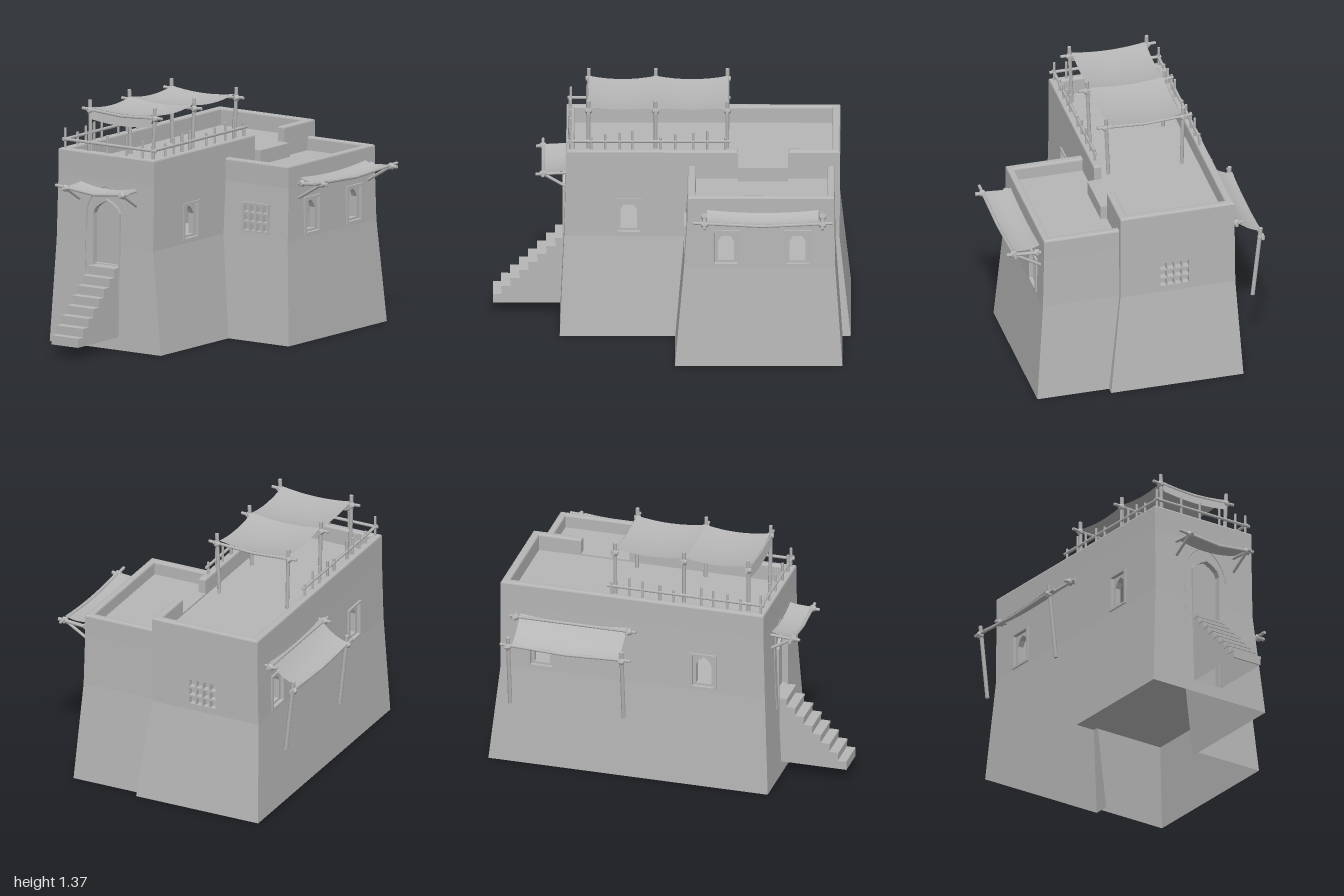
import * as THREE from 'three';
import { ParametricGeometry } from 'three/addons/geometries/ParametricGeometry.js';

const V = (x, y, z) => new THREE.Vector3(x, y, z);
const poly = pts => new THREE.Shape(pts.map(p => new THREE.Vector2(p[0], p[1])));
const rect = (x0, y0, x1, y1) => poly([[x0, y0], [x1, y0], [x1, y1], [x0, y1]]);

// Footprint [x0, x1, z0, z1] at the base, the bend and the top of each block
const MAIN = { ys: [0, 0.58, 0.95], rows: [[-0.58, 0.185, -1, 0.625], [-0.55, 0.115, -0.937, 0.6], [-0.545, 0.115, -0.94, 0.59]] };
const SIDE = { ys: [0, 0.58, 0.88], rows: [[0.185, 0.6, -0.955, -0.02], [0.115, 0.557, -0.915, -0.07], [0.115, 0.55, -0.91, -0.09]] };

// For each facing: turn about y, then [start, end, depth] from a footprint
const FACING = {
  front: [0, r => [r[0], r[1], r[3]]],
  right: [Math.PI / 2, r => [-r[3], -r[2], r[1]]],
  back: [Math.PI, r => [-r[1], -r[0], -r[2]]],
  left: [-Math.PI / 2, r => [r[2], r[3], -r[0]]],
};

export function createModel() {
  const root = new THREE.Group();
  root.name = 'flatRoofHouse';
  const plaster = new THREE.MeshStandardMaterial({ color: 0xb6b6b6, side: THREE.DoubleSide });
  plaster.name = 'grey plaster';

  function add(parent, name, geo) {
    const m = new THREE.Mesh(geo, plaster);
    m.name = name;
    parent.add(m);
    return m;
  }
  function group(name, parent = root) {
    const g = new THREE.Group();
    g.name = name;
    parent.add(g);
    return g;
  }
  function box(parent, name, x0, x1, y0, y1, z0, z1) {
    add(parent, name, new THREE.BoxGeometry(x1 - x0, y1 - y0, z1 - z0)).position.set((x0 + x1) / 2, (y0 + y1) / 2, (z0 + z1) / 2);
  }
  function rod(parent, name, a, b, r = 0.009) {
    const m = add(parent, name, new THREE.CylinderGeometry(r, r, a.distanceTo(b), 7));
    m.position.copy(a).lerp(b, 0.5);
    m.quaternion.setFromUnitVectors(V(0, 1, 0), b.clone().sub(a).normalize());
  }
  const knot = (parent, p) => add(parent, 'ropeKnot', new THREE.IcosahedronGeometry(0.023, 0)).position.copy(p);

  // One band of wall in its own plane, with optional notches and holes
  function band(parent, block, side, i, { holes = [], low = [], high = [], range } = {}) {
    const [y0, y1] = [block.ys[i], block.ys[i + 1]];
    let [a0, a1, d0] = FACING[side][1](block.rows[i]);
    let [b0, b1, d1] = FACING[side][1](block.rows[i + 1]);
    if (range) {
      a0 = range[0] ?? a0; b0 = range[0] ?? b0;
      a1 = range[1] ?? a1; b1 = range[1] ?? b1;
    }
    const s = poly([[a0, y0], ...low, [a1, y0], [b1, y1], ...high, [b0, y1]]);
    s.holes.push(...holes);
    const g = new THREE.ShapeGeometry(s);
    const p = g.attributes.position;
    for (let k = 0; k < p.count; k++) p.setZ(k, d0 + (d1 - d0) * (p.getY(k) - y0) / (y1 - y0));
    g.computeVertexNormals();
    add(parent, side + 'Wall', g);
  }

  const WIN = { w: 0.077, y0: 0.595, y1: 0.81 };
  const GRATE = { w: 0.092, y0: 0.608, y1: 0.778 };
  const hole = (c, o) => rect(c - o.w, o.y0, c + o.w, o.y1);
  const extrude = (s, depth, z) => new THREE.ExtrudeGeometry(s, { depth, bevelEnabled: false }).translate(0, 0, z);

  // Pointed window: raised rim around a recessed plate with an arched opening
  function window_(parent, c, d) {
    const g = group('archedWindow', parent);
    const rim = hole(c, WIN);
    rim.holes.push(rect(c - 0.063, 0.608, c + 0.063, 0.797));
    add(g, 'windowRim', extrude(rim, 0.05, d - 0.042));
    const plate = hole(c, WIN);
    plate.holes.push(poly([[c - 0.045, 0.62], [c + 0.045, 0.62], [c + 0.045, 0.735], [c + 0.028, 0.765], [c, 0.785], [c - 0.028, 0.765], [c - 0.045, 0.735]]));
    add(g, 'windowPlate', extrude(plate, 0.035, d - 0.05));
  }
  // Grated window: plate with four by three openings and a back
  function grate(parent, c, d) {
    const g = group('gratedWindow', parent);
    const s = hole(c, GRATE);
    for (let i = 0; i < 4; i++) for (let j = 0; j < 3; j++) {
      const x = c - 0.0825 + i * 0.0435, y = 0.619 + j * 0.0525;
      s.holes.push(rect(x, y, x + 0.034, y + 0.042));
    }
    add(g, 'grating', extrude(s, 0.035, d - 0.03));
    add(g, 'gratingBack', new THREE.ShapeGeometry(hole(c, GRATE)).translate(0, 0, d - 0.03));
  }
  function wall(block, side, { windows = [], grates = [], lower = [{}], low = [] } = {}) {
    const g = group(side + 'Side');
    g.rotation.y = FACING[side][0];
    lower.forEach(o => band(g, block, side, 0, o));
    band(g, block, side, 1, { low, holes: [...windows.map(c => hole(c, WIN)), ...grates.map(c => hole(c, GRATE))] });
    const d = FACING[side][1](block.rows[1])[2];
    windows.forEach(c => window_(g, c, d));
    grates.forEach(c => grate(g, c, d - 0.004));
  }

  // Walls of both blocks
  const arch = [[-0.3, 0.77], [-0.285, 0.8], [-0.25, 0.825], [-0.205, 0.845], [-0.16, 0.825], [-0.125, 0.8], [-0.11, 0.77]];
  wall(MAIN, 'front', {
    lower: [{ high: [[-0.11, 0.58], [-0.11, 0.07], [-0.3, 0.07], [-0.3, 0.58]] }],
    low: [[-0.3, 0.58], ...arch, [-0.11, 0.58]],
  });
  wall(MAIN, 'right', { windows: [-0.24], lower: [{ range: [null, 0.075] }, { range: [0.91, null] }] });
  wall(MAIN, 'back', { grates: [0.2] });
  wall(MAIN, 'left', { windows: [0.24, -0.7] });
  wall(SIDE, 'front', { grates: [0.335] });
  wall(SIDE, 'right', { windows: [0.305, 0.705] });
  wall(SIDE, 'back');

  // Floors: inner storey and the two roofs
  const flat = (name, pts, y) => add(root, name, new THREE.ShapeGeometry(poly(pts.map(p => [p[0], -p[1]]))).rotateX(-Math.PI / 2).translate(0, y, 0));
  flat('innerFloor', [[-0.553, 0.603], [0.127, 0.603], [0.127, -0.063], [0.564, -0.063], [0.564, -0.92], [0.127, -0.92], [0.127, -0.947], [-0.553, -0.947]], 0.475);
  flat('mainRoof', [[-0.53, 0.575], [0.1, 0.575], [0.1, -0.925], [-0.53, -0.925]], 1.0);
  flat('sideRoof', [[0.11, -0.1], [0.54, -0.1], [0.54, -0.9], [0.11, -0.9]], 0.93);

  // Parapets with softened top edges
  function parapet(name, pts, y0, y1) {
    const b = 0.01;
    const g = new THREE.ExtrudeGeometry(poly(pts.map(p => [p[0], -p[1]])), { depth: y1 - y0 - b, bevelThickness: b, bevelSize: b, bevelOffset: -b, bevelSegments: 2 });
    add(root, name, g.rotateX(-Math.PI / 2).translate(0, y0, 0));
  }
  parapet('mainParapet', [[0.115, -0.37], [0.115, 0.59], [-0.545, 0.59], [-0.545, -0.94], [0.115, -0.94], [0.115, -0.65], [0.07, -0.65],
    [0.07, -0.895], [-0.5, -0.895], [-0.5, 0.545], [0.07, 0.545], [0.07, -0.37]], 0.94, 1.097);
  parapet('sideParapet', [[0.1, -0.09], [0.55, -0.09], [0.55, -0.91], [0.1, -0.91], [0.1, -0.87], [0.51, -0.87], [0.51, -0.135], [0.1, -0.135]], 0.87, 1.007);
  box(root, 'roofStep', 0.07, 0.152, 0.9, 1.01, -0.65, -0.37);

  // Door: frame, shallow panel and plaster arch line
  const door = group('doorway');
  const frame = poly([[-0.3, 0.07], [-0.11, 0.07], ...[...arch].reverse()]);
  add(door, 'doorPanel', new THREE.ShapeGeometry(frame).translate(0, 0, 0.575));
  frame.holes.push(poly([[-0.12, 0.08], ...[...arch].reverse().map(p => [-0.205 + (p[0] + 0.205) * 0.89, p[1] - 0.012]), [-0.29, 0.08]]));
  add(door, 'doorFrame', extrude(frame, 0.035, 0.575));
  const line = [[-0.345, 0.42, 0.608], [-0.345, 0.58, 0.6], [-0.345, 0.68, 0.597], [-0.342, 0.78, 0.595], [-0.31, 0.85, 0.593], [-0.26, 0.895, 0.592],
    [-0.21, 0.915, 0.591], [-0.15, 0.89, 0.592], [-0.1, 0.835, 0.593], [-0.075, 0.78, 0.595], [-0.072, 0.73, 0.596]];
  add(door, 'archLine', new THREE.TubeGeometry(new THREE.CatmullRomCurve3(line.map(p => V(...p))), 40, 0.004, 5));

  // Stairs: stepped cheeks with treads and risers, open underneath
  const stairs = group('stairs');
  const profile = [[0.575, 0.07], [1.0, 0.07]];
  for (let i = 0; i < 8; i++) {
    const y = 0.12 + i * 0.049, z = 1 - i * 0.05, back = i < 7 ? z - 0.05 : 0.575;
    profile.push([z, y], [back, y]);
    box(stairs, 'tread', -0.298, -0.112, y - 0.012, y + 0.002, back, Math.min(z + 0.004, 1));
    box(stairs, 'riser', -0.295, -0.115, y - 0.05, y - 0.01, z - 0.008, z);
  }
  for (const x of [-0.295, -0.115]) add(stairs, 'stairCheek', new THREE.ShapeGeometry(poly(profile)).rotateY(-Math.PI / 2).translate(x, 0, 0));

  // Railing around the front of the main roof
  const rail = group('railing');
  const post = (x, z, top) => rod(rail, 'railPost', V(x, 1.06, z), V(x, top, z), 0.0075);
  rod(rail, 'frontRail', V(-0.53, 1.146, 0.57), V(0.115, 1.146, 0.57), 0.009);
  [-0.35, -0.225, -0.09, 0.02].forEach((x, i) => post(x, 0.568, i % 2 ? 1.2 : 1.205));
  for (const x of [-0.515, 0.09]) {
    rod(rail, 'sideRail', V(x, 1.146, 0.585), V(x, 1.146, -0.325), 0.009);
    [0.565, 0.45, 0.37, 0.29, 0.22, 0.06, -0.02, -0.12, -0.2, -0.3].forEach((z, i) => post(x, z, [1.21, 1.17, 1.19, 1.2][i % 4]));
  }

  // Cloth between an inner edge a-b and an outer edge c-d, sagging both ways
  function cloth(parent, a, b, c, d, sagAlong, sagOut) {
    add(parent, 'cloth', new ParametricGeometry((u, v, t) => {
      t.copy(a).lerp(b, u).lerp(c.clone().lerp(d, u), v);
      t.y -= 4 * sagAlong * u * (1 - u) + 4 * sagOut * v * (1 - v);
    }, 10, 8));
  }

  // Roof canopy: three trestles, two cloth spans and a front flap
  const canopy = group('roofCanopy');
  const zs = [-0.31, 0.09, 0.465];
  for (const z of zs) {
    for (const [x, lean] of [[-0.41, -0.008], [0.015, 0.015]]) {
      rod(canopy, 'canopyPost', V(x, 1.0, z), V(x + lean, 1.365, z), 0.011);
      knot(canopy, V(x + lean, 1.305, z));
    }
    rod(canopy, 'crossPole', V(-0.47, 1.312, z), V(-0.2, 1.295, z));
    rod(canopy, 'crossPole', V(-0.2, 1.295, z), V(0.08, 1.31, z));
  }
  for (let i = 0; i < 2; i++) cloth(canopy, V(-0.41, 1.325, zs[i]), V(0.015, 1.325, zs[i]), V(-0.41, 1.325, zs[i + 1]), V(0.015, 1.325, zs[i + 1]), 0.018, 0.02);
  cloth(canopy, V(-0.41, 1.325, 0.467), V(0.015, 1.325, 0.467), V(-0.41, 1.26, 0.48), V(0.015, 1.26, 0.48), 0.018, 0);

  // Front awning over the door
  const porch = group('frontAwning');
  cloth(porch, V(-0.39, 0.925, 0.59), V(-0.01, 0.925, 0.59), V(-0.39, 0.912, 0.725), V(-0.01, 0.912, 0.725), 0.025, 0.006);
  rod(porch, 'outerPole', V(-0.47, 0.913, 0.72), V(-0.2, 0.887, 0.72));
  rod(porch, 'outerPole', V(-0.2, 0.887, 0.72), V(0.035, 0.912, 0.72));
  for (const x of [-0.4, -0.01]) {
    rod(porch, 'arm', V(x, 0.91, 0.58), V(x, 0.9, 0.76));
    rod(porch, 'brace', V(x, 0.825, 0.59), V(x, 0.91, 0.73));
    knot(porch, V(x, 0.903, 0.72));
  }

  // Right awning on braced arms
  const right = group('rightAwning');
  cloth(right, V(0.55, 0.93, -0.82), V(0.55, 0.93, -0.2), V(0.72, 0.925, -0.82), V(0.72, 0.925, -0.2), 0.018, 0.02);
  rod(right, 'outerPole', V(0.71, 0.92, -0.9), V(0.71, 0.9, -0.51));
  rod(right, 'outerPole', V(0.71, 0.9, -0.51), V(0.71, 0.92, -0.12));
  for (const z of [-0.845, -0.185]) {
    rod(right, 'arm', V(0.54, 0.895, z), V(0.75, 0.91, z), 0.011);
    rod(right, 'brace', V(0.55, 0.815, z), V(0.71, 0.91, z));
    knot(right, V(0.71, 0.91, z));
    knot(right, V(0.575, 0.9, z));
  }

  // Left awning sloping down to two leaning props
  const left = group('leftAwning');
  cloth(left, V(-0.56, 0.92, -0.82), V(-0.56, 0.92, -0.2), V(-0.735, 0.81, -0.82), V(-0.735, 0.81, -0.2), 0.018, 0.02);
  rod(left, 'innerPole', V(-0.575, 0.905, -0.88), V(-0.575, 0.905, -0.14));
  rod(left, 'outerPole', V(-0.725, 0.8, -0.89), V(-0.725, 0.785, -0.51));
  rod(left, 'outerPole', V(-0.725, 0.785, -0.51), V(-0.725, 0.8, -0.13));
  for (const z of [-0.845, -0.185]) {
    rod(left, 'prop', V(-0.675, 0.415, z), V(-0.722, 0.845, z), 0.012);
    rod(left, 'wallPeg', V(-0.53, 0.91, z), V(-0.62, 0.905, z));
    knot(left, V(-0.725, 0.79, z));
    knot(left, V(-0.58, 0.905, z));
  }
  return root;
}
